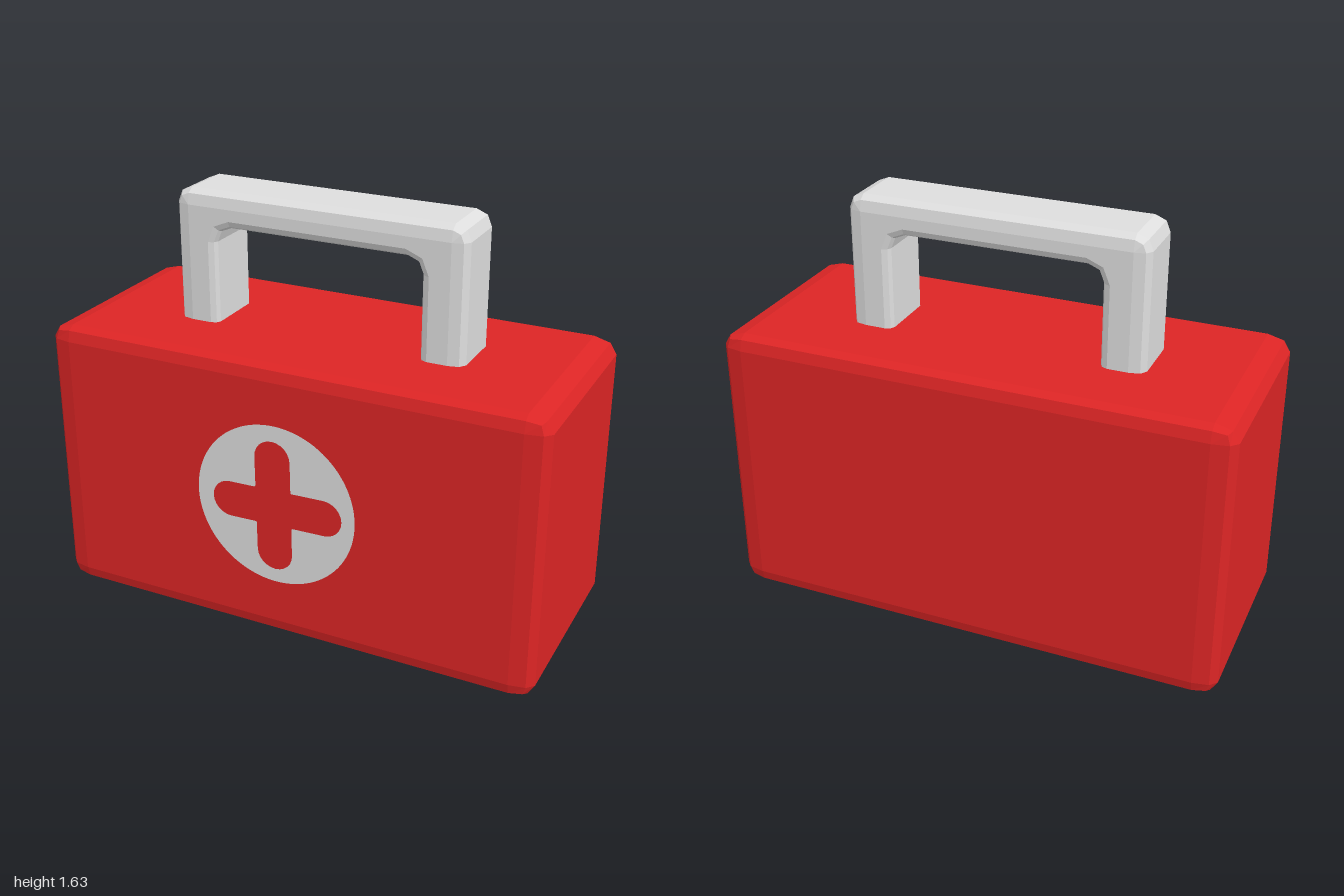
import * as THREE from 'three';
import { RoundedBoxGeometry } from 'three/addons/geometries/RoundedBoxGeometry.js';

const red = new THREE.MeshStandardMaterial({ color: 0xdd2525 });
red.name = 'case red';
const grey = new THREE.MeshStandardMaterial({ color: 0xdedede });
grey.name = 'light grey';

function part(name, geometry, material) {
  const mesh = new THREE.Mesh(geometry, material);
  mesh.name = name;
  return mesh;
}

// Box with two-facet bevels, stretched so the bevel follows the proportions
function caseGeometry() {
  const s = [1.5, 1, 0.667];
  const g = new RoundedBoxGeometry(2 / s[0], 1.12, 0.84 / s[2], 1, 0.06);
  g.scale(...s);
  g.translate(0, 0.56, 0);
  g.computeVertexNormals();
  return g;
}

// Arch swept from a bevelled section; each rail is [corner x, corner y, corner radius, z]
function handleGeometry() {
  const half = [
    [0.525, 1.575, 0.06, 0.1], [0.525, 1.575, 0.042, 0.126], [0.525, 1.575, 0, 0.135],
    [0.355, 1.44, 0.09, 0.135], [0.355, 1.44, 0.069, 0.126], [0.355, 1.44, 0.06, 0.11],
  ];
  const section = [...half, ...half.map(([x, y, r, z]) => [x, y, r, -z]).reverse()];
  const rails = section.map(([cx, cy, r, z]) => {
    const right = [[cx + r, 1.1, z]];
    for (let i = 0; i <= 2; i++) {
      const a = (i * Math.PI) / 4;
      right.push([cx + r * Math.cos(a), cy + r * Math.sin(a), z]);
    }
    return [...right, ...right.map(([x, y, zz]) => [-x, y, zz]).reverse()];
  });
  const pos = [];
  const n = rails.length;
  for (let i = 0; i < n; i++) {
    const a = rails[i], b = rails[(i + 1) % n];
    for (let j = 0; j < a.length - 1; j++) {
      pos.push(...a[j], ...a[j + 1], ...b[j + 1], ...a[j], ...b[j + 1], ...b[j]);
    }
  }
  const g = new THREE.BufferGeometry();
  g.setAttribute('position', new THREE.Float32BufferAttribute(pos, 3));
  g.computeVertexNormals();
  g.translate(-0.003, 0, -0.003);
  return g;
}

// Disc with a slightly tilted, round-ended cross cut out of it
function badgeGeometry() {
  const disc = new THREE.Shape();
  disc.absarc(-0.025, 0.565, 0.327, 0, Math.PI * 2);
  const cx = -0.031, cy = 0.556, w = 0.073;
  const points = [];
  const reach = [0.28, 0.272, 0.256, 0.263];
  for (let arm = 0; arm < 4; arm++) {
    const a = (arm * Math.PI) / 2 + (arm % 2 ? 0.012 : 0.025);
    const add = (u, v) => points.push(new THREE.Vector2(
      cx + u * Math.cos(a) - v * Math.sin(a), cy + u * Math.sin(a) + v * Math.cos(a)));
    add(w + 0.004, -w);
    for (let i = 0; i <= 12; i++) {
      const t = -Math.PI / 2 + (i * Math.PI) / 12;
      add(reach[arm] - w + w * Math.cos(t), w * Math.sin(t));
    }
    add(w + 0.004, w);
  }
  disc.holes.push(new THREE.Path(points));
  return new THREE.ShapeGeometry(disc, 48);
}

export function createModel() {
  const model = new THREE.Group();
  model.name = 'firstAidCase';
  const badge = part('badge', badgeGeometry(), grey);
  badge.position.z = 0.423;
  model.add(part('case', caseGeometry(), red), part('handle', handleGeometry(), grey), badge);
  return model;
}
